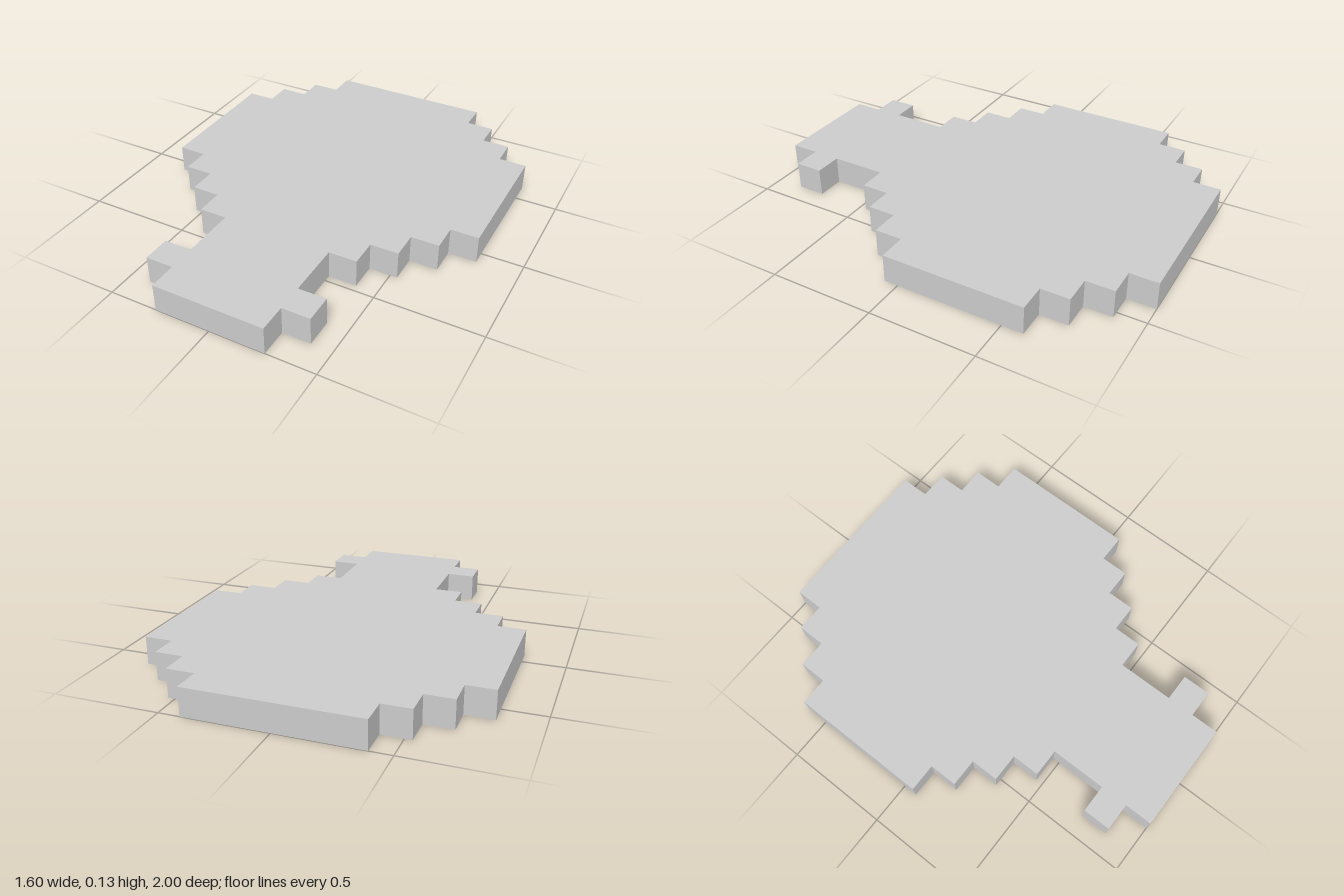
import * as THREE from 'three';

// One pixel of the stepped outline; the plate is 15 pixels long and one thick.
const UNIT = 2 / 15;

// Runs from back to front: [half width, number of rows], in pixels
const RUNS = [[3, 1], [4, 1], [5, 1], [6, 5], [5, 1], [4, 1], [3, 1], [2, 2], [3, 1], [2, 1]];

// Stepped outline: one side walked back to front, then mirrored
function steppedOutline() {
  const side = [];
  let y = 1;
  for (const [half, rows] of RUNS) {
    side.push(new THREE.Vector2(half * UNIT, y));
    y -= rows * UNIT;
    side.push(new THREE.Vector2(half * UNIT, y));
  }
  const mirrored = side.map((p) => new THREE.Vector2(-p.x, p.y)).reverse();
  return new THREE.Shape([...side, ...mirrored]);
}

export function createModel() {
  const group = new THREE.Group();
  group.name = 'pixelBulb';

  // Flat bulb-shaped plate, laid down so its thickness points up
  const geometry = new THREE.ExtrudeGeometry(steppedOutline(), { depth: UNIT, bevelEnabled: false });
  geometry.rotateX(-Math.PI / 2);
  const plate = new THREE.Mesh(
    geometry,
    new THREE.MeshStandardMaterial({ color: 0xcccccc, flatShading: true })
  );
  plate.name = 'bulbPlate';
  group.add(plate);

  return group;
}
